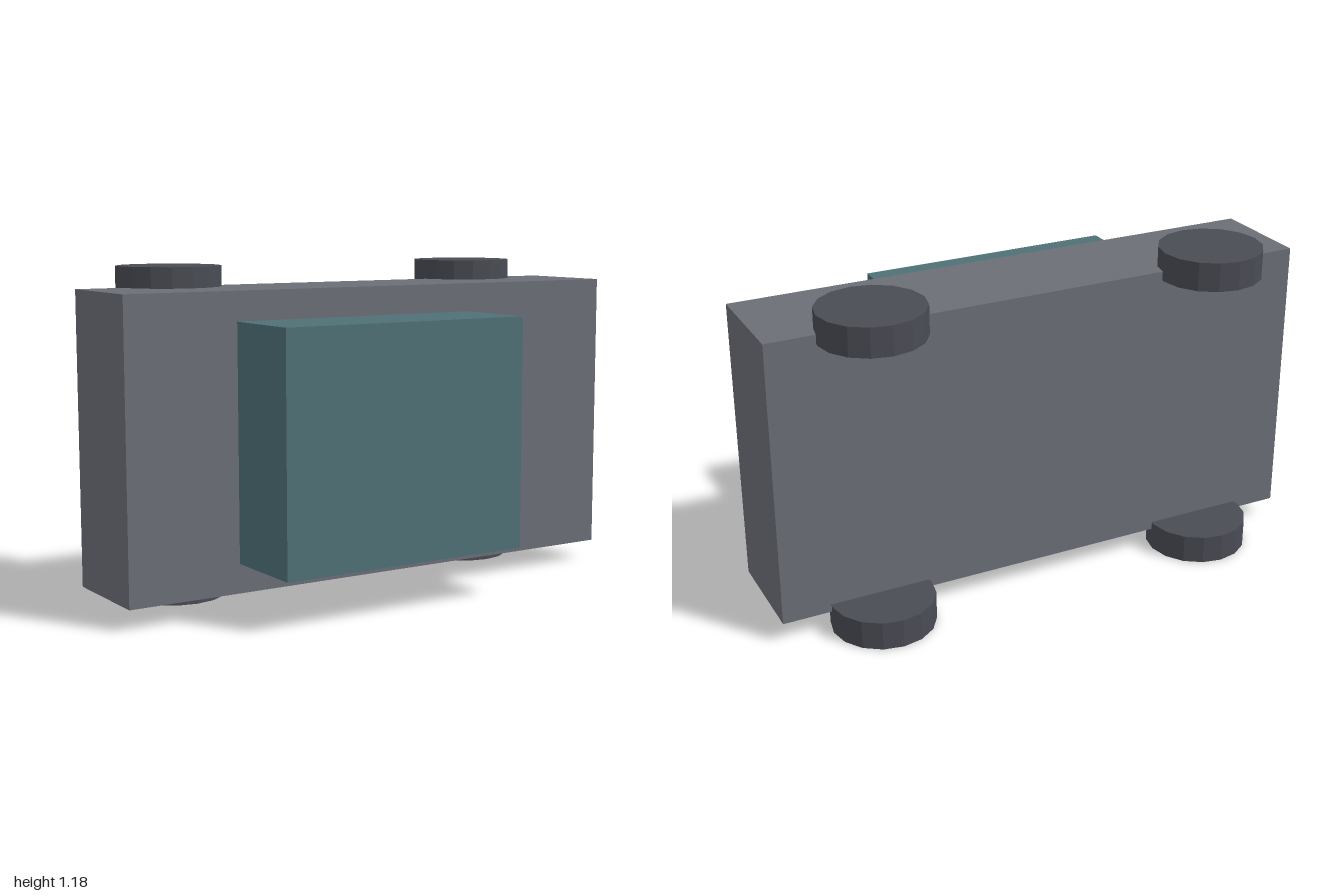
import * as THREE from 'three';

const paint = (color) => new THREE.MeshStandardMaterial({ color, flatShading: true });

// Box given by its minimum and maximum corners
function box(name, min, max, material) {
  const size = max.map((v, i) => v - min[i]);
  const mesh = new THREE.Mesh(new THREE.BoxGeometry(...size), material);
  mesh.position.set(...max.map((v, i) => (v + min[i]) / 2));
  mesh.name = name;
  return mesh;
}

export function createModel() {
  const model = new THREE.Group();
  model.name = 'blockCar';

  // Car resting on its side: roof towards +z, wheels towards -z
  model.add(box('body', [-1, 0.075, -0.25], [1, 1.108, 0.134], paint(0x6b6e76)));
  model.add(box('cabin', [-0.587, 0.178, 0.134], [0.375, 1.005, 0.454], paint(0x4f7076)));

  // Four wheels, axles along y
  const wheelGeometry = new THREE.CylinderGeometry(0.186, 0.186, 0.104, 16);
  const wheelMaterial = paint(0x4a4c54);
  const wheels = new THREE.Group();
  wheels.name = 'wheels';
  for (const x of [-0.641, 0.641]) {
    for (const y of [0.052, 1.129]) {
      const wheel = new THREE.Mesh(wheelGeometry, wheelMaterial);
      wheel.position.set(x, y, -0.267);
      wheel.name = 'wheel';
      wheels.add(wheel);
    }
  }
  model.add(wheels);
  return model;
}
